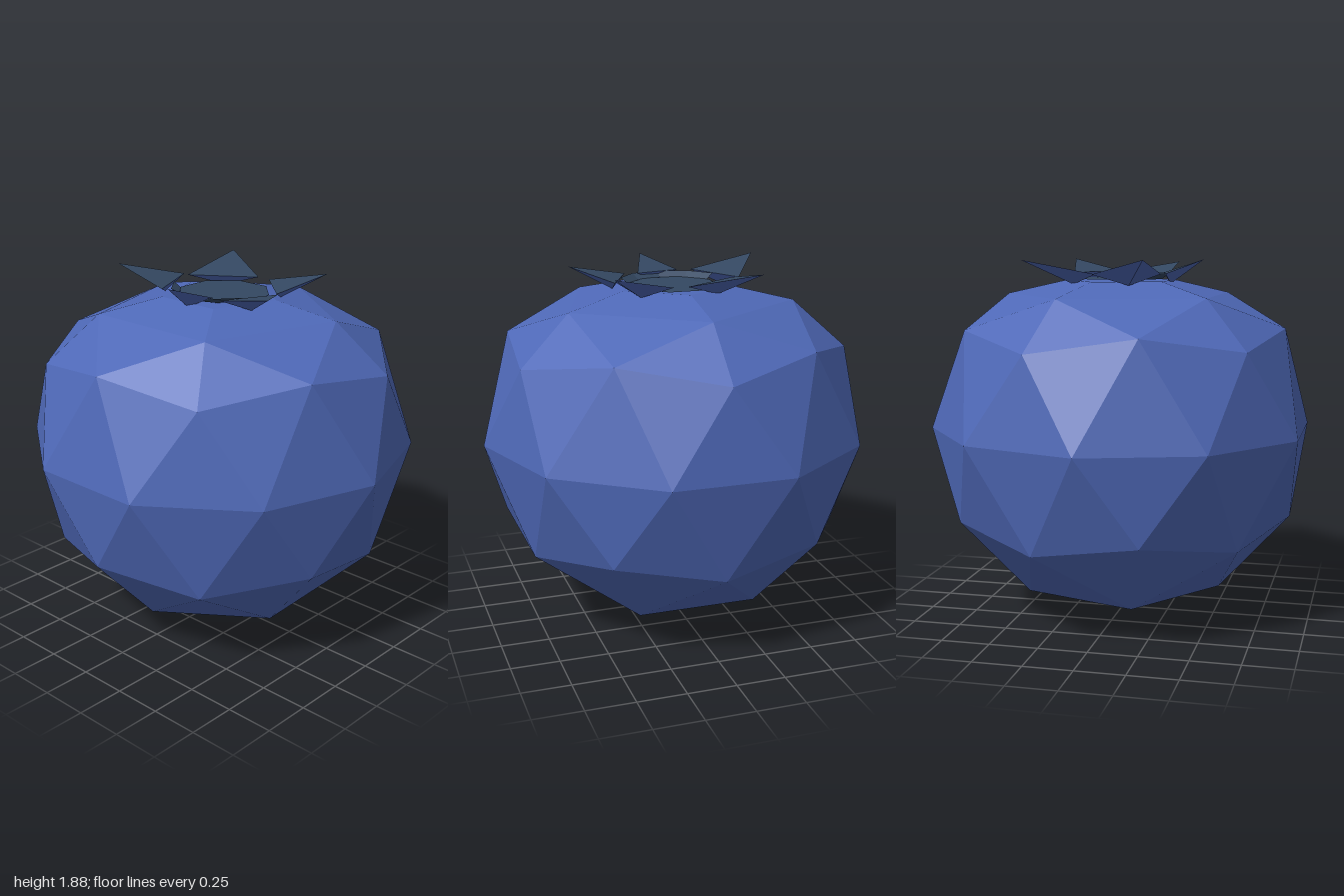
import * as THREE from 'three';
import { ConvexGeometry } from 'three/addons/geometries/ConvexGeometry.js';

const material = (color) =>
  new THREE.MeshStandardMaterial({ color, flatShading: true, side: THREE.DoubleSide });

// Points evenly spaced on a level circle, angle measured from +x
function ring(count, radius, y, startDeg) {
  return Array.from({ length: count }, (_, i) => {
    const a = THREE.MathUtils.degToRad(startDeg + (i * 360) / count);
    return new THREE.Vector3(radius * Math.cos(a), y, radius * Math.sin(a));
  });
}

function triangles(points) {
  const geometry = new THREE.BufferGeometry().setFromPoints(points);
  geometry.computeVertexNormals();
  return geometry;
}

export function createModel() {
  const group = new THREE.Group();
  const skin = material(0x4f69b8);
  const calyx = material(0x344862);
  const add = (name, geometry, mat, parent = group) => {
    const mesh = new THREE.Mesh(geometry, mat);
    mesh.name = name;
    parent.add(mesh);
    return mesh;
  };

  // Faceted fruit: a geodesic ball with its top pressed flat
  add('fruit', new ConvexGeometry([
    new THREE.Vector3(0, 0, 0),
    ...ring(5, 0.526, 0.149, 180),
    ...ring(5, 0.851, 0.474, 0),
    ...ring(5, 0.894, 0.553, 180),
    ...ring(10, 1, 1, 18),
    ...ring(5, 0.894, 1.447, 0),
    ...ring(5, 0.851, 1.526, 180),
    ...ring(5, 0.62, 1.69, 0),
    ...ring(5, 0.3, 1.762, 0),
  ]), skin);

  // Octagonal floor of the crown
  const floor = new THREE.CircleGeometry(0.24, 8, Math.PI / 8);
  floor.rotateX(-Math.PI / 2);
  add('crownFloor', floor, calyx).position.set(0.025, 1.772, 0);

  // Low wall on the right-hand side of the crown
  const wall = new THREE.CylinderGeometry(0.27, 0.23, 0.03, 4, 1, true, Math.PI * 1.125, Math.PI * 0.75);
  add('crownWall', wall, calyx).position.set(0.02, 1.785, 0);

  // Pointed sepals: [tip x, y, z], then the x, z of the two base corners
  const sepals = [
    [[-0.22, 1.875, -0.52], [0.08, -0.335], [-0.24, -0.18]],
    [[0.45, 1.87, -0.32], [0.28, 0.01], [0.07, -0.3]],
    [[0.36, 1.866, 0.4], [0.07, 0.31], [0.28, 0.08]],
    [[-0.21, 1.85, 0.49], [-0.215, 0.19], [0.07, 0.32]],
    [[-0.42, 1.87, 0.045], [-0.25, -0.11], [-0.195, 0.125]],
  ];
  sepals.forEach(([t, a, b], i) => {
    const sepal = new THREE.Group();
    sepal.name = `sepal${i + 1}`;
    const tip = new THREE.Vector3(...t);
    const left = new THREE.Vector3(a[0], 1.8, a[1]);
    const right = new THREE.Vector3(b[0], 1.8, b[1]);
    const keel = left.clone().add(right).multiplyScalar(0.5).lerp(tip, 0.15).setY(1.745);
    // Wind the upper face so it looks up
    const up = left.clone().sub(tip).cross(right.clone().sub(tip)).y > 0;
    const [p, q] = up ? [left, right] : [right, left];
    add('sepalTop', triangles([tip, p, q]), calyx, sepal);
    add('sepalKeel', triangles([tip, keel, p, tip, q, keel, p, keel, q]), skin, sepal);
    group.add(sepal);
  });

  return group;
}
